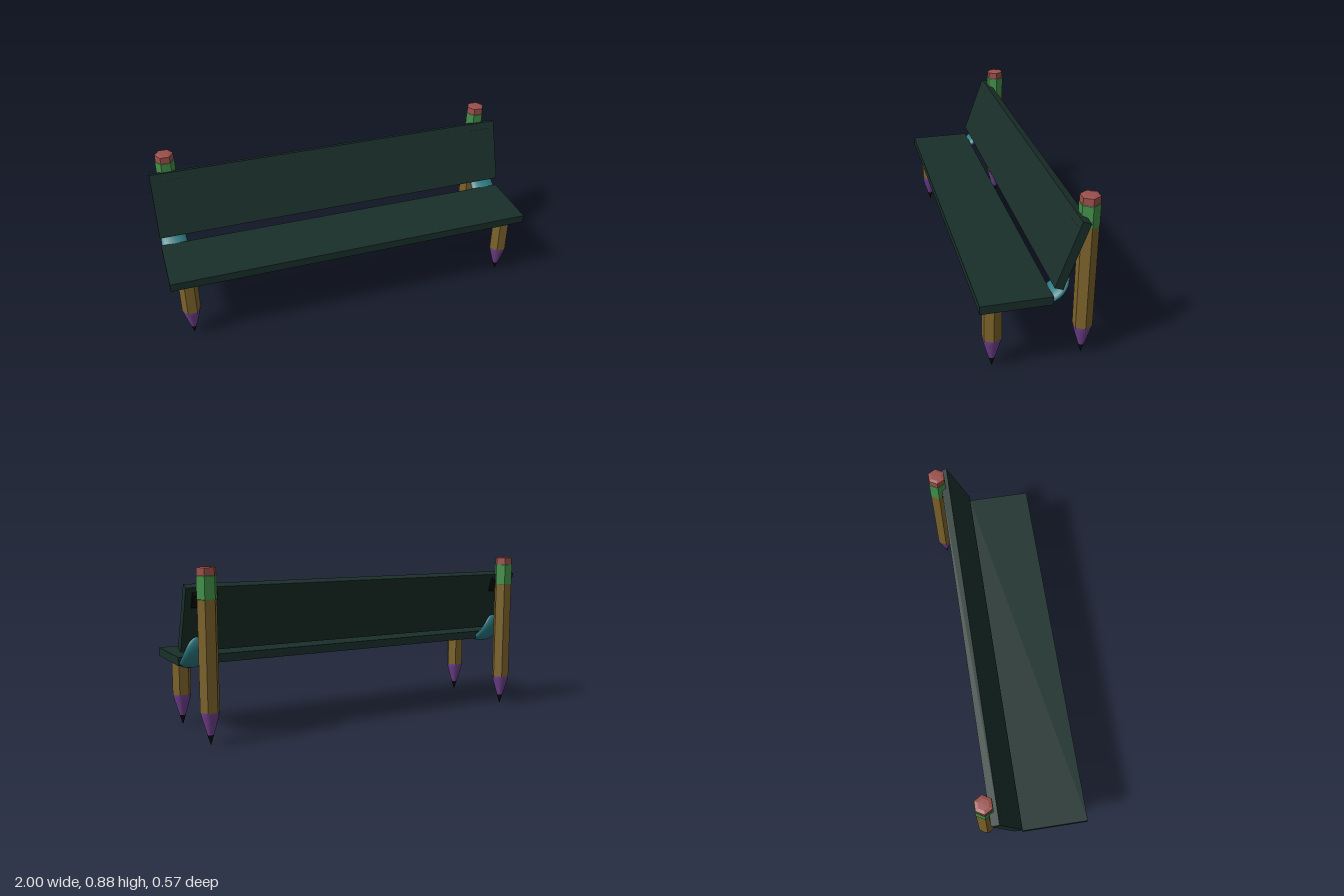
import * as THREE from 'three';

const mat = (color, flatShading = false) => new THREE.MeshStandardMaterial({ color, flatShading });
const MATS = {
  plank: mat(0x1a2f2a), wood: mat(0x7c632b, true), paint: mat(0x71418f),
  lead: mat(0x080808), ferrule: mat(0x439049, true), eraser: mat(0x9a4f4a, true),
  bracket: mat(0x2c7a82), clamp: mat(0x080808, true),
};

function add(parent, name, geometry, material) {
  const mesh = new THREE.Mesh(geometry, material);
  mesh.name = name;
  parent.add(mesh);
  return mesh;
}

// Turned profile; six sides put corners on the x axis
function turned(points, sides) {
  return new THREE.LatheGeometry(points.map(p => new THREE.Vector2(...p)), sides, Math.PI / 6);
}

// Round cone trimmed by the hexagonal shaft, like a sharpened pencil
function sharpenedCone() {
  const geo = turned([[0.0166, 0.057], [0.0433, 0.15], [0.05, 0.172]], 24);
  const pos = geo.attributes.position;
  for (let i = 0; i < pos.count; i++) {
    const x = pos.getX(i), z = pos.getZ(i);
    let reach = 0;
    for (const a of [30, 90, 150]) {
      const t = THREE.MathUtils.degToRad(a);
      reach = Math.max(reach, Math.abs(x * Math.cos(t) + z * Math.sin(t)));
    }
    const s = Math.min(1, 0.0433 / reach);
    pos.setX(i, x * s);
    pos.setZ(i, z * s);
  }
  geo.computeVertexNormals();
  return geo;
}

// Pencil leg standing on its point
function pencil(name, top, withEraser) {
  const g = new THREE.Group();
  g.name = name;
  add(g, 'pencilPoint', turned([[0, 0.003], [0.0166, 0.057]], 24), MATS.lead);
  add(g, 'pencilTip', sharpenedCone(), MATS.paint);
  add(g, 'pencilShaft', turned([[0.05, 0.172], [0.05, top], [0, top]], 6), MATS.wood);
  if (withEraser) {
    add(g, 'ferrule', turned([[0.05, 0.72], [0.0515, 0.722], [0.0515, 0.834], [0.049, 0.836]], 6), MATS.ferrule);
    add(g, 'eraser', turned([[0.0495, 0.832], [0.0485, 0.872], [0.03, 0.877], [0, 0.878]], 6), MATS.eraser);
  }
  return g;
}

// Rounded pad bent along a curve from under the seat up behind the backrest
function bentBracket() {
  const path = new THREE.CatmullRomCurve3([
    [0.05, 0.38], [-0.03, 0.379], [-0.095, 0.415], [-0.126, 0.462], [-0.136, 0.527],
  ].map(([z, y]) => new THREE.Vector3(0, y, z)));
  const geo = new THREE.SphereGeometry(1, 24, 20);
  const pos = geo.attributes.position;
  for (let i = 0; i < pos.count; i++) {
    const t = THREE.MathUtils.clamp((pos.getY(i) + 1) / 2, 0, 1);
    const p = path.getPointAt(t), d = path.getTangentAt(t);
    const k = 0.026 * pos.getZ(i);
    pos.setXYZ(i, 0.07 * pos.getX(i), p.y - d.z * k, p.z + d.y * k);
  }
  geo.computeVertexNormals();
  return geo;
}

// Half-round clamp between backrest and rear pencil
function clampGeometry() {
  const outline = [[0.165, 0.755], [0.183, 0.768], [0.205, 0.76], [0.217, 0.748], [0.222, 0.735],
    [0.217, 0.722], [0.205, 0.703], [0.197, 0.68], [0.187, 0.675], [0.175, 0.7]];
  const shape = new THREE.Shape(outline.map(p => new THREE.Vector2(...p)));
  const geo = new THREE.ExtrudeGeometry(shape, { depth: 0.125, bevelEnabled: false });
  geo.translate(0, 0, -0.0625);
  return geo.rotateY(Math.PI / 2);
}

export function createModel() {
  const model = new THREE.Group();
  model.name = 'pencilBench';

  // Two matching planks
  const plank = new THREE.BoxGeometry(2, 0.044, 0.347);
  add(model, 'seat', plank, MATS.plank).position.set(0, 0.397, 0.115);
  const back = add(model, 'backrest', plank, MATS.plank);
  back.position.set(0, 0.621, -0.14);
  back.rotation.x = Math.PI / 2 - THREE.MathUtils.degToRad(20);

  // Legs and fittings at both ends
  for (const side of [-1, 1]) {
    const end = side > 0 ? 'left' : 'right';
    const front = pencil(end + 'FrontLeg', 0.38, false);
    front.position.set(side * 0.905, 0, 0.21);
    const rear = pencil(end + 'RearLeg', 0.74, true);
    rear.position.set(side * 0.905, 0, -0.241);
    model.add(front, rear);
    add(model, end + 'Bracket', bentBracket(), MATS.bracket).position.x = side * 0.925;
    add(model, end + 'Clamp', clampGeometry(), MATS.clamp).position.x = side * 0.905;
  }
  return model;
}
